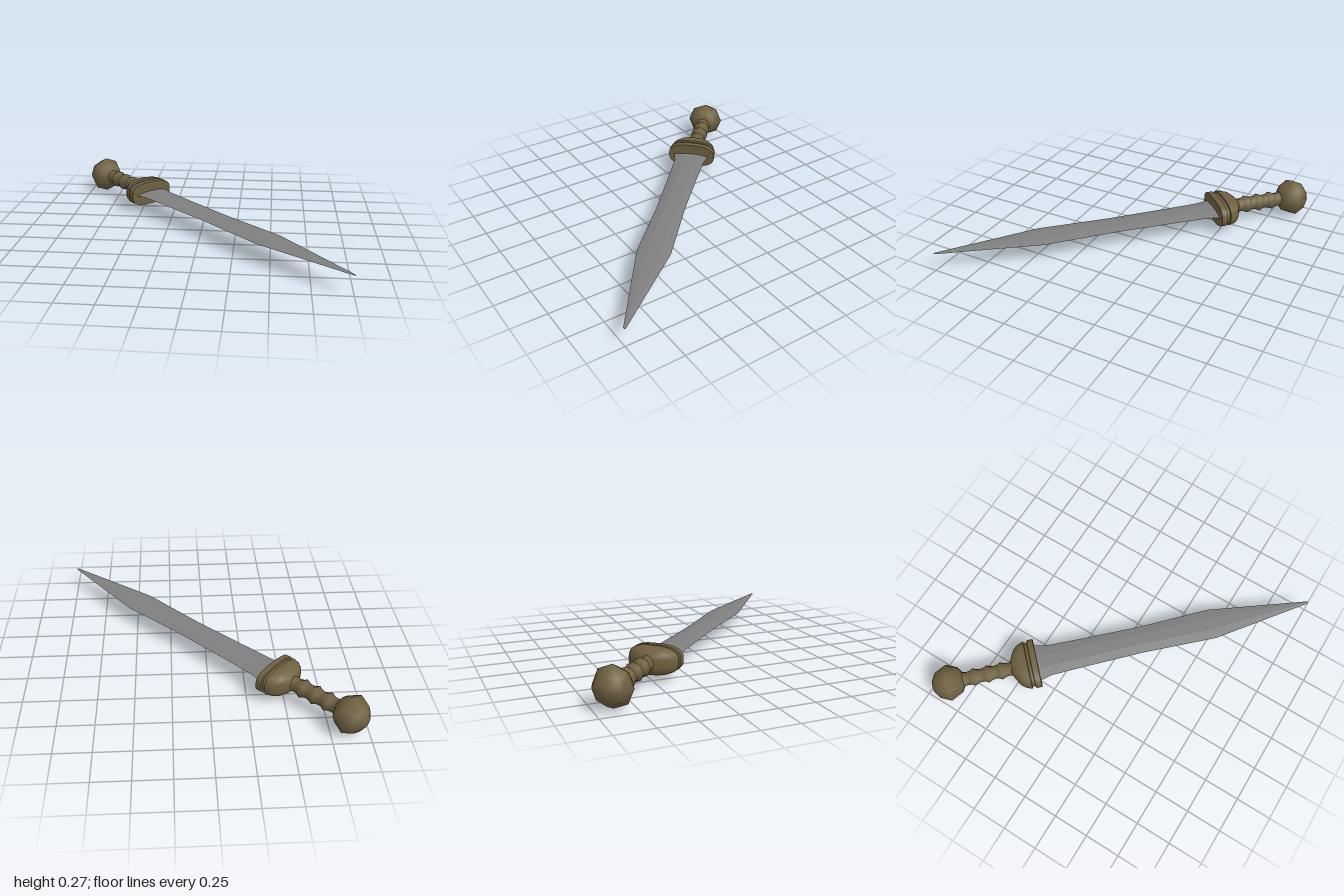
import * as THREE from 'three';
import { toCreasedNormals } from 'three/addons/utils/BufferGeometryUtils.js';

// Skin a list of closed rings (counterclockwise seen from +z, ordered along +z) and cap both ends.
function loft(rings, crease) {
  const pos = [], idx = [], n = rings[0].length, last = rings.length - 1;
  rings.forEach(r => r.forEach(p => pos.push(...p)));
  for (let k = 0; k < last; k++) {
    for (let i = 0; i < n; i++) {
      const j = (i + 1) % n, a = k * n + i, b = k * n + j;
      idx.push(a, b, b + n, a, b + n, a + n);
    }
  }
  const c = pos.length / 3;
  pos.push(0, 0, rings[0][0][2], 0, 0, rings[last][0][2]);
  for (let i = 0; i < n; i++) {
    const j = (i + 1) % n;
    idx.push(c, j, i, c + 1, last * n + i, last * n + j);
  }
  const g = new THREE.BufferGeometry();
  g.setAttribute('position', new THREE.Float32BufferAttribute(pos, 3));
  g.setIndex(idx);
  return toCreasedNormals(g, crease);
}

// Eight-sided turned part along +z from [z, radius] pairs.
function turned(profile) {
  const pts = profile.map(([z, r]) => new THREE.Vector2(r, z));
  return new THREE.LatheGeometry(pts, 8).rotateX(Math.PI / 2);
}

// Rounded-rectangle ring for the guard.
function guardRing([z, w, h]) {
  const ring = [], n = 32, e = 2 / 2.8;
  for (let i = 0; i < n; i++) {
    const a = (i / n) * Math.PI * 2, c = Math.cos(a), s = Math.sin(a);
    ring.push([
      w * Math.sign(c) * Math.abs(c) ** e,
      h * Math.sign(s) * Math.abs(s) ** e,
      z,
    ]);
  }
  return ring;
}

// Hexagonal blade section: flat middle with a bevel to each edge.
function bladeRing([z, w, h]) {
  const m = w * 0.4;
  return [[w, 0, z], [m, h, z], [-m, h, z], [-w, 0, z], [-m, -h, z], [m, -h, z]];
}

export function createModel() {
  const bronze = new THREE.MeshStandardMaterial({ color: 0x6e6040 });
  bronze.name = 'bronze brown';
  const steel = new THREE.MeshStandardMaterial({ color: 0x7f7f7f });
  steel.name = 'steel grey';

  const sword = new THREE.Group();
  sword.name = 'sword';
  const add = (name, geometry, material) => {
    const mesh = new THREE.Mesh(geometry, material);
    mesh.name = name;
    sword.add(mesh);
  };

  // Faceted ball pommel
  add('pommel', turned([
    [-1.357, 0], [-1.353, 0.04], [-1.318, 0.097], [-1.24, 0.136],
    [-1.163, 0.096], [-1.13, 0.04], [-1.13, 0],
  ]), bronze);

  // Grip with evenly spaced ridges
  const grip = [];
  for (let i = 0; i < 5; i++) {
    const z = -1.16 + i * 0.098;
    grip.push([z - 0.025, 0.053], [z, 0.066], [z + 0.025, 0.053], [z + 0.049, 0.049]);
  }
  add('grip', turned(grip), bronze);

  // Domed guard with a groove and a front plate
  add('guard', loft([
    [-0.795, 0.045, 0.04], [-0.78, 0.078, 0.062], [-0.75, 0.132, 0.083],
    [-0.715, 0.16, 0.091], [-0.676, 0.174, 0.092], [-0.672, 0.162, 0.081],
    [-0.652, 0.162, 0.081], [-0.648, 0.177, 0.09], [-0.606, 0.177, 0.088],
  ].map(guardRing), 0.75), bronze);

  // Waisted blade with a long tapering point
  add('blade', loft([
    [-0.615, 0.136, 0.014], [-0.52, 0.113, 0.014], [-0.25, 0.106, 0.013],
    [0.15, 0.099, 0.013], [0.68, 0.113, 0.011], [1.405, 0.009, 0.002],
    [1.414, 0.002, 0.001],
  ].map(bladeRing), 0.06), steel);

  // Lie flat along the diagonal
  sword.rotation.y = Math.PI / 4;
  sword.position.y = 0.136;
  const model = new THREE.Group();
  model.name = 'shortSword';
  model.add(sword);
  return model;
}
